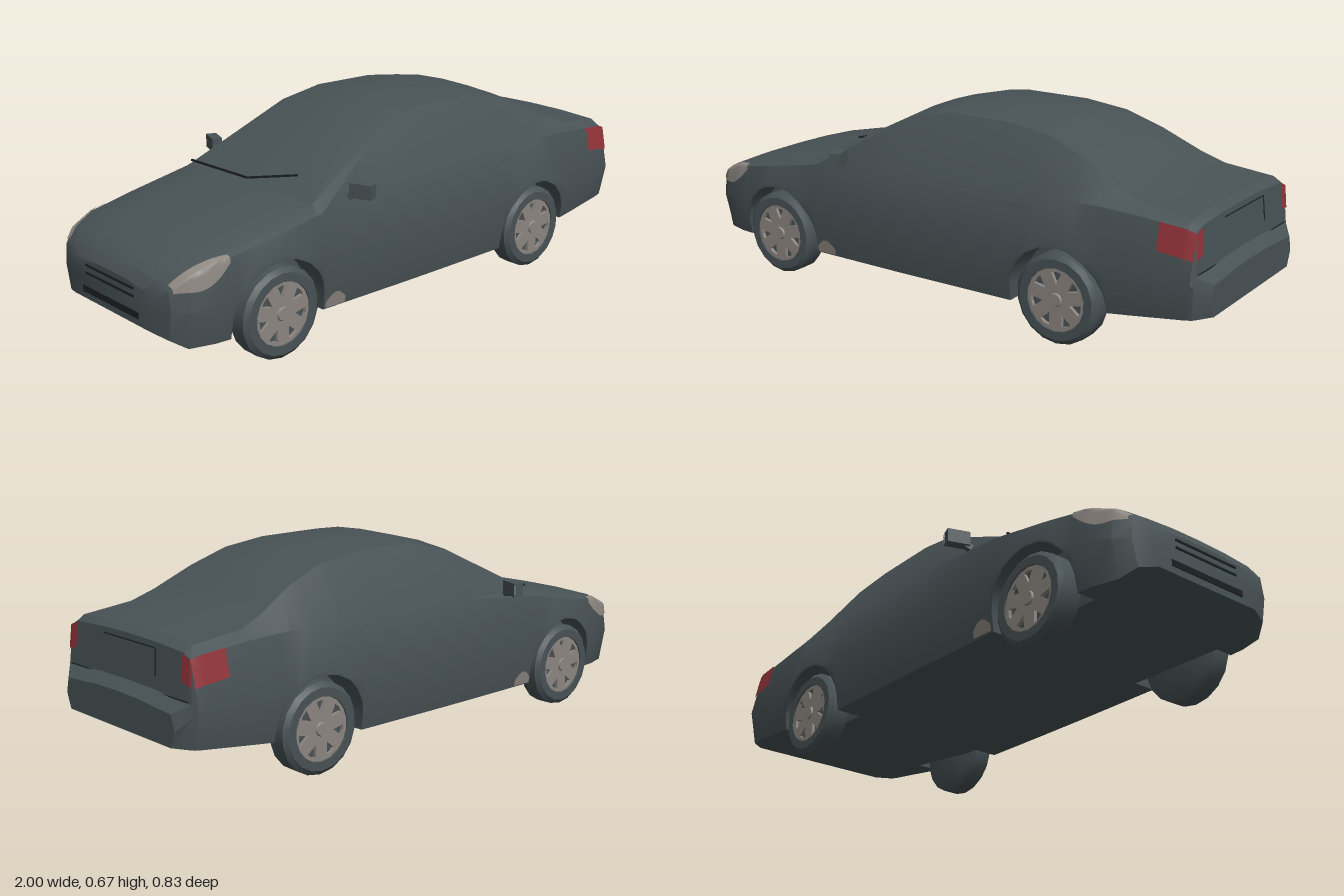
import * as THREE from 'three';
import { toCreasedNormals } from 'three/addons/utils/BufferGeometryUtils.js';

const material = (name, color) => {
  const m = new THREE.MeshStandardMaterial({ color });
  m.name = name;
  return m;
};

// Body profile along the car, nose at -x: x, widest z, belt y, belt z, roof edge z, top y
const PROFILE = [
  [-0.996, 0.22, 0.25, 0.22, 0.18, 0.28],
  [-0.975, 0.285, 0.285, 0.275, 0.22, 0.315],
  [-0.93, 0.32, 0.32, 0.305, 0.26, 0.345],
  [-0.85, 0.345, 0.35, 0.325, 0.29, 0.375],
  [-0.7, 0.36, 0.375, 0.34, 0.30, 0.405],
  [-0.48, 0.368, 0.415, 0.345, 0.31, 0.442],
  [-0.12, 0.375, 0.45, 0.34, 0.248, 0.63],
  [0.03, 0.376, 0.455, 0.338, 0.23, 0.665],
  [0.27, 0.376, 0.46, 0.335, 0.23, 0.662],
  [0.42, 0.375, 0.46, 0.335, 0.237, 0.64],
  [0.55, 0.373, 0.46, 0.335, 0.25, 0.59],
  [0.68, 0.37, 0.455, 0.33, 0.275, 0.52],
  [0.76, 0.365, 0.45, 0.325, 0.285, 0.488],
  [0.93, 0.35, 0.435, 0.32, 0.285, 0.468],
  [0.955, 0.345, 0.425, 0.315, 0.275, 0.45],
  [0.965, 0.335, 0.30, 0.325, 0.28, 0.312],
  [1.0, 0.29, 0.27, 0.275, 0.22, 0.283],
];
const WHEEL_X = [-0.63, 0.52], WHEEL_R = 0.145, ARCH_R = 0.17;

function profileAt(x) {
  let i = 0;
  while (i < PROFILE.length - 2 && x > PROFILE[i + 1][0]) i++;
  const a = PROFILE[i], b = PROFILE[i + 1], t = (x - a[0]) / (b[0] - a[0]);
  return a.map((v, k) => v + (b[k] - v) * t);
}

// Half cross-section as [z, y], from the floor centre up to the roof centre
function section(x) {
  const [, midZ, beltY, beltZ, edgeZ, top] = profileAt(x);
  const floor = 0.105 + Math.max(0, -0.93 - x) * 0.65 + Math.max(0, x - 0.4) * 0.11;
  const midY = Math.min(0.28, 0.215 + (x + 1) * 0.12, 0.28 - (x - 0.955) * 1.3);
  const edgeY = top - 0.01 - Math.max(0, top - 0.45) * 0.06;
  const sillZ = midZ * 0.93;
  let low = floor;
  for (const c of WHEEL_X) {
    const d = Math.abs(x - c);
    if (d < ARCH_R - 1e-6) low = WHEEL_R + Math.sqrt(ARCH_R ** 2 - d * d);
  }
  const flare = Math.min(1, (low - floor) / (midY - floor));
  const inner = Math.min(0.26, sillZ * 0.8);
  return [[0, floor], [inner, floor], [inner, low], [sillZ + (midZ - sillZ) * flare, low],
    [midZ, Math.max(midY, low + 0.012)], [beltZ, beltY], [edgeZ, edgeY],
    [edgeZ * 0.5, top - (top - edgeY) * 0.2], [0, top]];
}

function finish(positions, crease) {
  const g = new THREE.BufferGeometry();
  g.setAttribute('position', new THREE.Float32BufferAttribute(positions, 3));
  return toCreasedNormals(g, crease);
}

function bodyGeometry() {
  const xs = PROFILE.map(p => p[0]);
  for (const c of WHEEL_X) {
    for (const s of [-1, 1]) xs.push(c + s * ARCH_R, c + s * (ARCH_R - 0.001));
    for (let k = 1; k < 10; k++) xs.push(c + ARCH_R * Math.cos(k * Math.PI / 10));
  }
  xs.sort((a, b) => a - b);
  const rings = xs.map(x => {
    const half = section(x).map(([z, y]) => [x, y, z]);
    return half.concat(half.slice(1, -1).reverse().map(([px, y, z]) => [px, y, -z]));
  });
  const pos = [], n = rings[0].length, last = rings.length - 1;
  const tri = (...pts) => pts.forEach(p => pos.push(...p));
  for (let j = 0; j < n; j++) {
    const k = (j + 1) % n;
    for (let i = 0; i < last; i++) {
      const a = rings[i], b = rings[i + 1];
      tri(a[j], b[j], b[k]);
      tri(a[j], b[k], a[k]);
    }
    // Flat nose and tail
    tri([xs[0], 0.21, 0], rings[0][j], rings[0][k]);
    tri([xs[last], 0.22, 0], rings[last][k], rings[last][j]);
  }
  return finish(pos, 0.45);
}

// Point on the +z flank; s runs along the cross-section
function surfacePoint(x, s) {
  const p = section(x), i = Math.min(Math.floor(s), p.length - 2), t = s - i;
  return new THREE.Vector3(x, p[i][1] + (p[i + 1][1] - p[i][1]) * t, p[i][0] + (p[i + 1][0] - p[i][0]) * t);
}

// Thin patch that follows the body surface; range(u) gives its lower and upper s
function patchGeometry(x0, x1, range, side) {
  const N = 12, grid = [], pos = [];
  for (let i = 0; i <= N; i++) {
    const x = x0 + (x1 - x0) * i / N, [s0, s1] = range(i / N);
    grid.push([]);
    for (let j = 0; j <= N; j++) {
      const s = s0 + (s1 - s0) * j / N, p = surfacePoint(x, s);
      const dx = surfacePoint(x + 0.002, s).sub(surfacePoint(x - 0.002, s));
      const ds = surfacePoint(x, s + 0.02).sub(surfacePoint(x, s - 0.02));
      p.addScaledVector(dx.cross(ds).normalize(), 0.004);
      grid[i].push([p.x, p.y, p.z * side]);
    }
  }
  for (let i = 0; i < N; i++) for (let j = 0; j < N; j++) {
    const a = grid[i][j], b = grid[i + 1][j], c = grid[i + 1][j + 1], d = grid[i][j + 1];
    const quad = side > 0 ? [a, b, c, a, c, d] : [a, c, b, a, d, c];
    quad.forEach(p => pos.push(...p));
  }
  return finish(pos, 0.6);
}

export function createModel() {
  const paint = material('darkSlate', 0x485255);
  const trim = material('blackTrim', 0x1c2022);
  const silver = material('silver', 0x8c8680);
  const red = material('tailRed', 0x923339);
  const car = new THREE.Group();
  car.name = 'sedan';
  const add = (name, geometry, mat, parent = car) => {
    const m = new THREE.Mesh(geometry, mat);
    m.name = name;
    parent.add(m);
    return m;
  };
  const box = (name, mat, size, at) => {
    const m = add(name, new THREE.BoxGeometry(...size), mat);
    m.position.set(...at);
    return m;
  };
  // Narrow bar between two points
  const bar = (name, mat, from, to, w) => {
    const a = new THREE.Vector3(...from), b = new THREE.Vector3(...to);
    const m = box(name, mat, [w, w, a.distanceTo(b)], a.clone().lerp(b, 0.5).toArray());
    m.lookAt(b);
  };

  add('body', bodyGeometry(), paint);

  // Wheels: hollow tyre, pierced rim and hub
  const tyreProfile = [[0.001, -0.04], [0.12, -0.045], [0.145, -0.03], [0.145, 0.03],
    [0.13, 0.043], [0.102, 0.043], [0.098, 0.015], [0.001, 0.015]];
  const tyre = toCreasedNormals(
    new THREE.LatheGeometry(tyreProfile.map(p => new THREE.Vector2(...p)), 18), 0.6).rotateX(Math.PI / 2);
  const rimShape = new THREE.Shape().absarc(0, 0, 0.102, 0, Math.PI * 2);
  for (let k = 0; k < 7; k++) {
    const at = (r, da) => {
      const a = k * Math.PI * 2 / 7 + Math.PI / 2 + da;
      return new THREE.Vector2(r * Math.cos(a), r * Math.sin(a));
    };
    rimShape.holes.push(new THREE.Path([at(0.05, 0), at(0.088, 0.2), at(0.09, 0), at(0.088, -0.2)]));
  }
  const rim = new THREE.ExtrudeGeometry(rimShape, { depth: 0.012, bevelEnabled: false, curveSegments: 18 });
  const hub = new THREE.CylinderGeometry(0.02, 0.024, 0.008, 12).rotateX(Math.PI / 2);
  for (const x of WHEEL_X) for (const side of [1, -1]) {
    const wheel = new THREE.Group();
    wheel.name = (x < 0 ? 'front' : 'rear') + (side > 0 ? 'Near' : 'Far') + 'Wheel';
    add('tyre', tyre, paint, wheel);
    add('rim', rim, silver, wheel).position.z = 0.026;
    add('hub', hub, silver, wheel).position.z = 0.04;
    wheel.position.set(x, WHEEL_R, side * 0.318);
    if (side < 0) wheel.rotation.y = Math.PI;
    car.add(wheel);
  }

  for (const side of [1, -1]) {
    // Lamps and sill plates
    add('headlight', patchGeometry(-0.965, -0.8, u => {
      const h = 0.12 + 0.42 * Math.sin(Math.PI * Math.min(1, u * 0.85 + 0.1));
      return [5.1 - h * 1.1, 5.1 + h];
    }, side), silver);
    add('tailLightSide', patchGeometry(0.845, 0.955, u => [4.5 - 0.05 * u, 5], side), red);
    add('tailLightRear', patchGeometry(0.955, 0.961, () => [4.9, 5.95], side), red);
    add('sillPlate', patchGeometry(-0.455, -0.375, u => [3.03, 3.15 + 0.15 * Math.sin(Math.PI * u)], side), silver);

    // Door handles
    for (const x of [-0.06, 0.34]) {
      add('doorHandle', patchGeometry(x, x + 0.07, () => [4.72, 4.78], side), paint);
    }
    // Mirrors
    const mirror = box('mirror', paint, [0.035, 0.046, 0.075], [-0.325, 0.467, side * 0.375]);
    mirror.rotation.y = side * 0.35;
    bar('mirrorStalk', paint, [-0.34, 0.44, side * 0.33], [-0.33, 0.455, side * 0.355], 0.02);
  }
  const glass = box('mirrorGlass', silver, [0.004, 0.03, 0.055], [-0.306, 0.467, -0.382]);
  glass.rotation.y = -0.35;

  // Windscreen wipers
  bar('wiper', trim, [-0.475, 0.45, -0.3], [-0.475, 0.455, 0], 0.006);
  bar('wiper', trim, [-0.475, 0.455, 0], [-0.41, 0.487, 0.17], 0.006);

  // Grille bars and lower intake
  for (const y of [0.235, 0.26]) box('grilleBar', trim, [0.006, 0.007, 0.26], [-0.996, y, 0]);
  box('lowerIntake', trim, [0.006, 0.02, 0.3], [-0.996, 0.18, 0]);

  // Boot lid and bumper seams
  bar('bootSeam', trim, [0.957, 0.43, -0.14], [0.957, 0.43, 0.13], 0.003);
  bar('bootSeam', trim, [0.957, 0.43, -0.145], [0.964, 0.35, -0.15], 0.003);
  bar('bumperSeam', trim, [0.966, 0.304, -0.31], [0.966, 0.304, 0.31], 0.003);
  return car;
}
